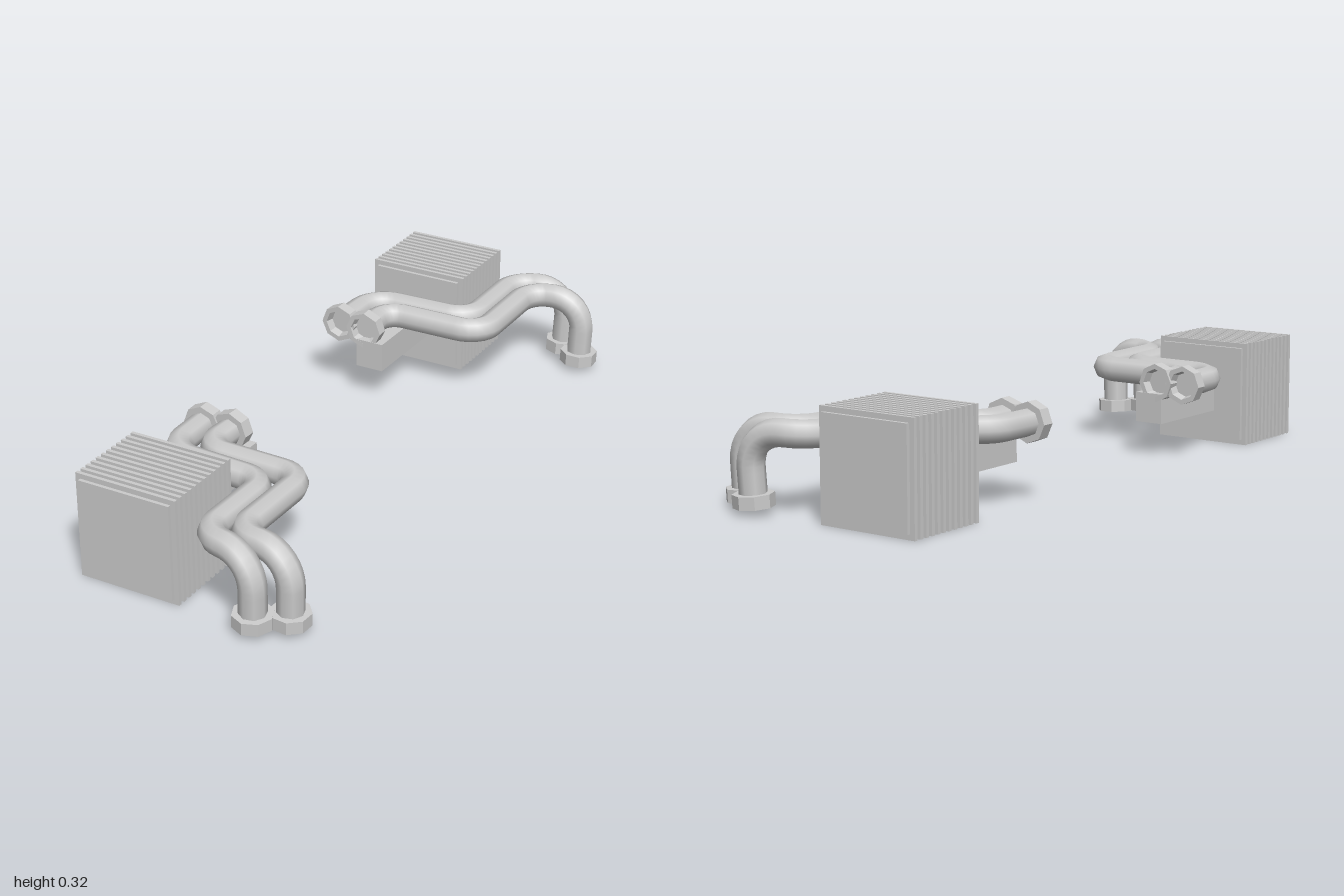
import * as THREE from 'three';

const material = new THREE.MeshStandardMaterial({ color: 0xcccccc });
const flatMaterial = new THREE.MeshStandardMaterial({ color: 0xcccccc, flatShading: true });

function box(name, w, h, d, x, y, z) {
  const mesh = new THREE.Mesh(new THREE.BoxGeometry(w, h, d), material);
  mesh.name = name;
  mesh.position.set(x, y, z);
  return mesh;
}

// Straight runs joined by rounded corners; each corner is [x, y, z, bend length]
function roundedPath(corners) {
  const path = new THREE.CurvePath();
  const pts = corners.map(([x, y, z]) => new THREE.Vector3(x, y, z));
  let last = pts[0];
  for (let i = 1; i < pts.length - 1; i++) {
    const toward = (p) => p.clone().sub(pts[i]).setLength(corners[i][3]).add(pts[i]);
    const a = toward(pts[i - 1]);
    const b = toward(pts[i + 1]);
    // Cubic handles approximate a circular bend
    const c1 = a.clone().lerp(pts[i], 0.56);
    const c2 = b.clone().lerp(pts[i], 0.56);
    path.add(new THREE.LineCurve3(last, a));
    path.add(new THREE.CubicBezierCurve3(a, c1, c2, b));
    last = b;
  }
  path.add(new THREE.LineCurve3(last, pts[pts.length - 1]));
  return path;
}

// Eight-sided flange with a recessed opening; its mouth faces along dir
function collar(position, dir) {
  const profile = [[0, -0.02], [0.058, -0.02], [0.058, 0.017], [0.043, 0.017], [0.037, -0.008], [0, -0.008]]
    .map(([r, y]) => new THREE.Vector2(r, y));
  const mesh = new THREE.Mesh(new THREE.LatheGeometry(profile, 8), flatMaterial);
  mesh.name = 'pipeCollar';
  mesh.position.copy(position);
  mesh.quaternion.setFromUnitVectors(new THREE.Vector3(0, 1, 0), dir);
  return mesh;
}

function pipe(name, corners) {
  const group = new THREE.Group();
  group.name = name;
  const path = roundedPath(corners);
  const tube = new THREE.Mesh(new THREE.TubeGeometry(path, 56, 0.039, 8), material);
  tube.name = 'pipeTube';
  group.add(tube);
  group.add(collar(path.getPoint(0), path.getTangent(0).negate()));
  group.add(collar(path.getPoint(1), path.getTangent(1)));
  return group;
}

// One finned unit with its pair of pipes; s = 1 at the front, -1 at the back
function unit(name, s) {
  const group = new THREE.Group();
  group.name = name;

  // Finned block
  group.add(box('finnedCore', 0.286, 0.286, 0.286, -0.18, 0.159, s * 0.808));
  const fins = 12;
  for (let i = 0; i < fins; i++) {
    group.add(box('fin', 0.316, 0.317, 0.011, -0.18, 0.1585, s * (0.681 + i * 0.0231)));
  }

  // Mounting bar running inward
  group.add(box('mountingBar', 0.09, 0.09, 0.31, -0.183, 0.145, s * 0.518));

  // Pipes: mouth, two level bends, then an elbow down to the lower flange
  const outer = [
    [-0.296, 0.223, 0.386, 0], [-0.291, 0.223, 0.583, 0.085], [0.042, 0.222, 0.597, 0.07],
    [0.042, 0.225, 0.915, 0.07], [0.219, 0.232, 0.953, 0.105], [0.211, 0.037, 0.945, 0],
  ];
  const inner = [
    [-0.206, 0.223, 0.38, 0], [-0.212, 0.223, 0.518, 0.07], [0.117, 0.222, 0.525, 0.07],
    [0.117, 0.225, 0.868, 0.07], [0.298, 0.232, 0.893, 0.105], [0.291, 0.035, 0.888, 0],
  ];
  const side = (corners) => corners.map(([x, y, z, r]) => [x, y, s * z, r]);
  group.add(pipe('outerPipe', side(outer)));
  group.add(pipe('innerPipe', side(inner)));
  return group;
}

export function createModel() {
  const model = new THREE.Group();
  model.name = 'finnedPipeUnits';
  model.add(unit('frontUnit', 1));
  model.add(unit('backUnit', -1));
  return model;
}
